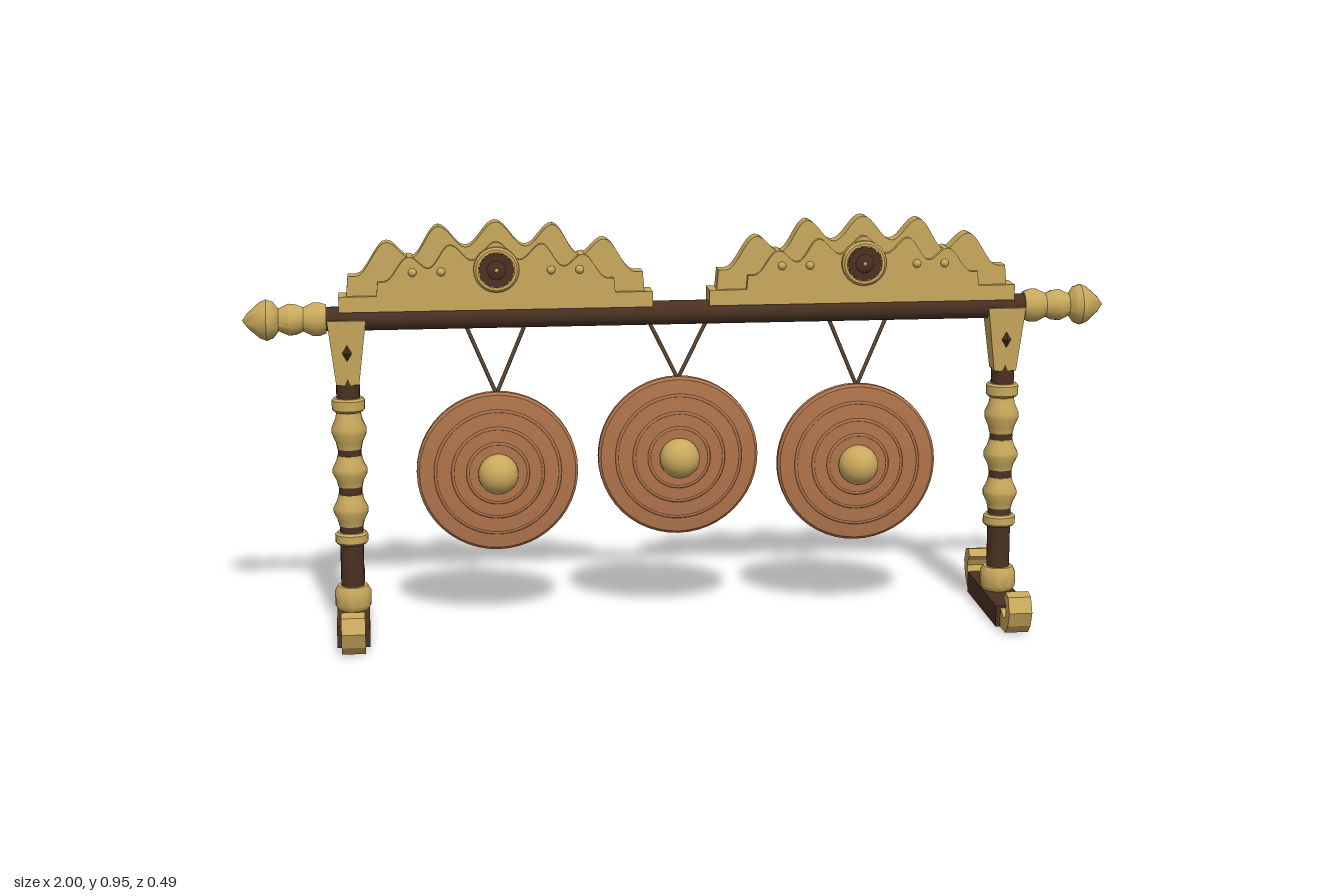
import * as THREE from 'three';
import { toCreasedNormals } from 'three/addons/utils/BufferGeometryUtils.js';

const material = (name, color) => {
  const m = new THREE.MeshStandardMaterial({ color });
  m.name = name;
  return m;
};

export function createModel() {
  const gold = material('gold', 0xc9a95c);
  const wood = material('dark wood', 0x4a3122);
  const copper = material('copper', 0xb0744b);
  const cord = material('cord', 0x5c4733);
  const model = new THREE.Group();
  model.name = 'gongStand';

  const add = (parent, name, geometry, mat, x = 0, y = 0, z = 0) => {
    const mesh = new THREE.Mesh(geometry, mat);
    mesh.name = name;
    mesh.position.set(x, y, z);
    parent.add(mesh);
    return mesh;
  };
  const group = (name, parent = model) => {
    const g = new THREE.Group();
    g.name = name;
    parent.add(g);
    return g;
  };
  const lathe = (points, sides = 20) => toCreasedNormals(
    new THREE.LatheGeometry(points.map(([r, y]) => new THREE.Vector2(r, y)), sides), 0.6);
  const slab = (shape, depth) => new THREE.ExtrudeGeometry(shape,
    { depth, bevelEnabled: false, curveSegments: 8 }).translate(0, 0, -depth / 2);

  // Shared geometries
  const bead = (y0, y1) => {
    const h = y1 - y0;
    return lathe([[0, y0], [0.028, y0], [0.031, y0 + h * 0.18], [0.04, y0 + h * 0.42],
      [0.04, y0 + h * 0.58], [0.031, y0 + h * 0.82], [0.028, y1], [0, y1]]);
  };
  const ring = (y0, y1) => lathe([[0, y0], [0.033, y0], [0.038, y0 + 0.005],
    [0.038, y1 - 0.005], [0.033, y1], [0, y1]]);
  const collar = lathe([[0, 0.05], [0.036, 0.05], [0.042, 0.06], [0.042, 0.094], [0.035, 0.107], [0, 0.107]]);
  const curlShape = new THREE.Shape([[0.15, 0], [0.205, 0], [0.23, 0.022], [0.243, 0.056], [0.226, 0.09],
    [0.197, 0.096], [0.184, 0.079], [0.2, 0.066], [0.207, 0.052], [0.202, 0.037], [0.186, 0.03],
    [0.15, 0.046]].map(([z, y]) => new THREE.Vector2(z, y)));
  const curl = slab(curlShape, 0.054).rotateY(-Math.PI / 2);
  const gem = new THREE.OctahedronGeometry(1).scale(0.011, 0.019, 0.012);
  const finial = lathe([[0, 0.81], [0.033, 0.81], [0.039, 0.825], [0.039, 0.84], [0.028, 0.862],
    [0.035, 0.878], [0.037, 0.895], [0.026, 0.918], [0.042, 0.93], [0.048, 0.945], [0.042, 0.96],
    [0.018, 0.987], [0, 1]], 16).rotateZ(-Math.PI / 2);

  // Capital widens towards the beam
  const capital = new THREE.BoxGeometry(1, 0.15, 1);
  const cp = capital.attributes.position;
  for (let i = 0; i < cp.count; i++) {
    const top = cp.getY(i) > 0;
    cp.setX(i, cp.getX(i) * (top ? 0.088 : 0.052));
    cp.setZ(i, cp.getZ(i) * (top ? 0.072 : 0.052));
  }
  capital.computeVertexNormals();

  // Posts with feet, turned beads, capitals and beam finials
  for (const side of [-1, 1]) {
    const post = group(side > 0 ? 'leftPost' : 'rightPost');
    post.position.x = side * 0.765;
    add(post, 'footBar', new THREE.BoxGeometry(0.075, 0.05, 0.306), wood, 0, 0.025);
    add(post, 'footCurlFront', curl, gold);
    add(post, 'footCurlBack', curl, gold).rotation.y = Math.PI;
    add(post, 'pole', new THREE.CylinderGeometry(0.027, 0.027, 0.55, 20), wood, 0, 0.325);
    add(post, 'collar', collar, gold);
    for (const [a, b] of [[0.25, 0.325], [0.343, 0.417], [0.432, 0.518]]) add(post, 'turnedBead', bead(a, b), gold);
    for (const [a, b] of [[0.207, 0.235], [0.52, 0.552]]) add(post, 'ring', ring(a, b), gold);
    add(post, 'capital', capital, gold, 0, 0.66);
    for (const f of [-1, 1]) add(post, 'capitalGem', gem, wood, 0, 0.66, f * 0.032);
    add(model, 'beamFinial', finial, gold, 0, 0.735).rotation.y = side > 0 ? 0 : Math.PI;
  }

  // Beam
  add(model, 'beam', new THREE.CylinderGeometry(0.028, 0.028, 1.64, 20).rotateZ(Math.PI / 2), wood, 0, 0.735);

  // Scalloped crest outline, peaks and valleys joined by smooth waves
  const crest = (sx, sy) => {
    const half = [[0, 0.165], [0.068, 0.108], [0.13, 0.157], [0.192, 0.085], [0.247, 0.122], [0.318, 0.045]];
    const pts = [...half.slice(1).reverse().map(([x, y]) => [-x, y]), ...half];
    const s = new THREE.Shape();
    s.moveTo(-0.34 * sx, 0);
    s.lineTo(-0.336 * sx, 0.045 * sy);
    s.lineTo(pts[0][0] * sx, pts[0][1] * sy);
    for (let i = 1; i < pts.length; i++) {
      const [x0, y0] = pts[i - 1], [x1, y1] = pts[i], d = (x1 - x0) * 0.36;
      s.bezierCurveTo((x0 + d) * sx, y0 * sy, (x1 - d) * sx, y1 * sy, x1 * sx, y1 * sy);
    }
    s.lineTo(0.336 * sx, 0.045 * sy);
    s.lineTo(0.34 * sx, 0);
    s.closePath();
    return s;
  };
  const crestBoard = slab(crest(1, 1), 0.044);
  const crestPanel = slab(crest(0.8, 0.73), 0.07);

  // Rosette petals
  const petals = new THREE.Shape();
  for (let i = 0; i < 48; i++) {
    const a = i / 48 * Math.PI * 2, r = 0.04 + 0.003 * Math.cos(a * 12);
    petals[i ? 'lineTo' : 'moveTo'](Math.cos(a) * r, Math.sin(a) * r);
  }
  const rosette = slab(petals, 0.008);
  const medallion = lathe([[0, 0.03], [0.052, 0.03], [0.052, 0.046], [0.047, 0.051], [0.041, 0.051],
    [0.041, 0.045], [0, 0.045]], 24).rotateX(Math.PI / 2);

  for (const x of [-0.4235, 0.4235]) {
    const top = group(x > 0 ? 'leftCrest' : 'rightCrest');
    top.position.set(x, 0.79, 0);
    add(top, 'crestRail', new THREE.BoxGeometry(0.716, 0.036, 0.066), gold, 0, -0.018);
    add(top, 'crestBoard', crestBoard, gold);
    add(top, 'crestPanel', crestPanel, gold);
    for (const turn of [0, Math.PI]) {
      const face = group(turn ? 'crestBackDetails' : 'crestFrontDetails', top);
      face.rotation.y = turn;
      add(face, 'medallion', medallion, gold, 0, 0.058);
      add(face, 'rosette', rosette, wood, 0, 0.058, 0.047);
      add(face, 'rosetteDome', new THREE.SphereGeometry(0.022, 16, 8).scale(1, 1, 0.25), wood, 0, 0.058, 0.05);
      add(face, 'rosetteStud', new THREE.SphereGeometry(0.006, 10, 6), gold, 0, 0.058, 0.052);
      for (const sx of [-0.19, -0.125, 0.125, 0.19])
        add(face, 'crestStud', new THREE.SphereGeometry(0.01, 12, 8), gold, sx, 0.054, 0.034);
    }
  }

  // Gongs: dished disc with ridges, central boss and two cords
  const disc = lathe([[0, -0.026], [0.145, -0.028], [0.165, -0.036], [0.174, -0.05], [0.184, -0.05],
    [0.188, -0.046], [0.188, -0.03], [0.182, -0.024], [0.147, -0.02], [0.143, -0.016], [0.107, -0.014],
    [0.103, -0.01], [0.072, -0.009], [0.068, -0.005], [0, -0.004]], 48).rotateX(Math.PI / 2);
  for (const [x, y] of [[-0.4235, 0.362], [0, 0.389], [0.4235, 0.362]]) {
    const gong = group('gong');
    gong.position.set(x, y, 0);
    add(gong, 'gongDisc', disc, copper);
    for (const [r, z] of [[0.145, -0.018], [0.105, -0.012], [0.07, -0.007]])
      add(gong, 'gongRidge', new THREE.TorusGeometry(r, 0.004, 6, 48), copper, 0, 0, z);
    add(gong, 'gongBoss', new THREE.SphereGeometry(0.047, 24, 16), gold, 0, 0, 0.003);
    for (const side of [-1, 1]) {
      const path = new THREE.LineCurve3(new THREE.Vector3(0, 0.182, -0.038),
        new THREE.Vector3(side * 0.076, 0.725 - y, -0.038));
      add(gong, 'gongCord', new THREE.TubeGeometry(path, 1, 0.0045, 8), cord);
    }
  }
  return model;
}
